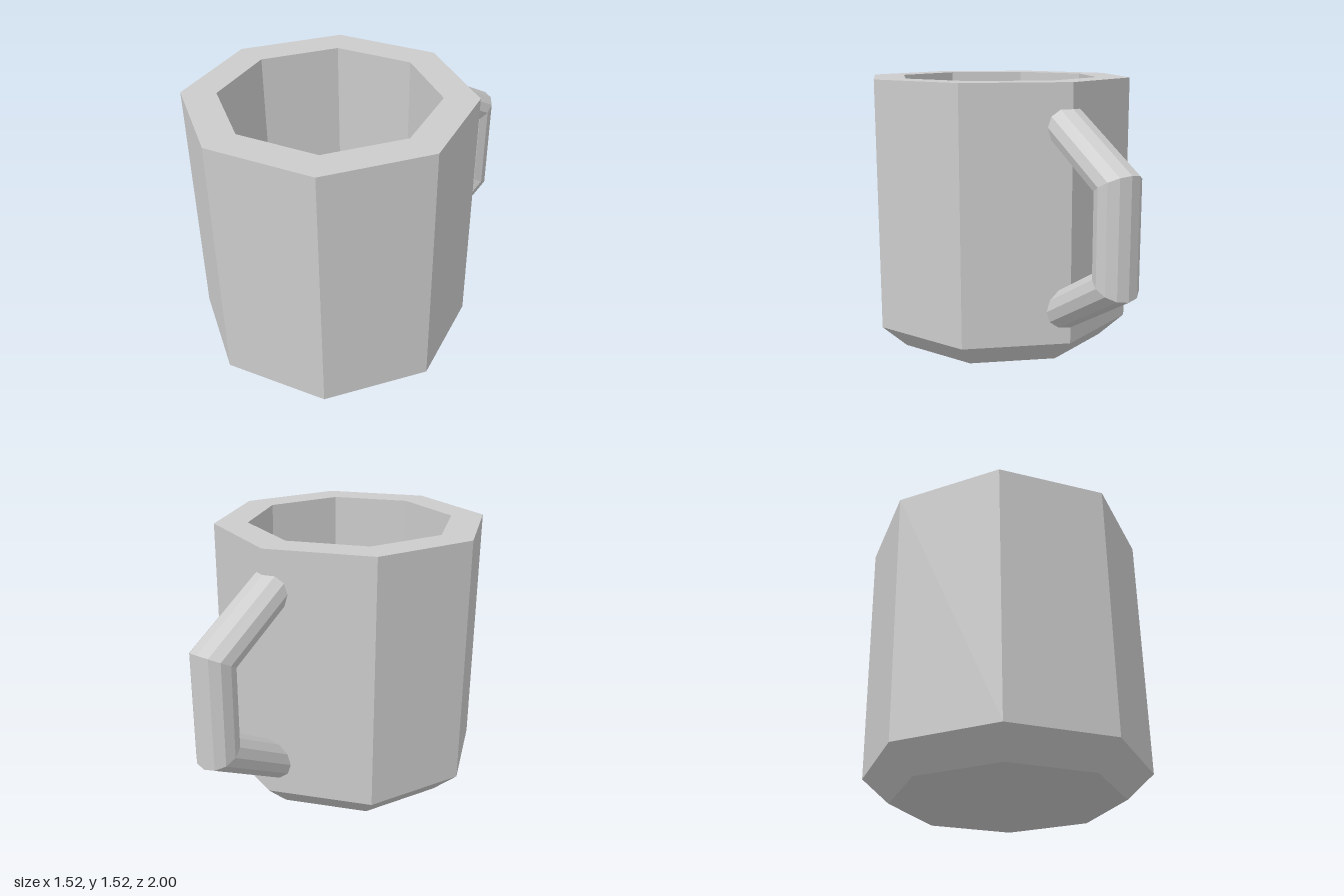
import * as THREE from 'three';

const SIDES = 8;
const CENTRE_Z = 0.24;
const FLOOR_Y = 0.19;
const INNER_R = 0.575;

// Tube skin through cross-sections; each ring has a centre (y, z) and an in-plane half-axis (dy, dz)
function handleGeometry(rings, halfWidth, n) {
  const pos = [], index = [];
  for (const { y, z, dy, dz } of rings) {
    for (let i = 0; i < n; i++) {
      const a = (i / n) * Math.PI * 2;
      pos.push(halfWidth * Math.cos(a), y + dy * Math.sin(a), z + dz * Math.sin(a));
    }
  }
  for (let r = 0; r < rings.length - 1; r++) {
    for (let i = 0; i < n; i++) {
      const a = r * n + i, b = r * n + ((i + 1) % n);
      index.push(a, b, a + n, b, b + n, a + n);
    }
  }
  const g = new THREE.BufferGeometry();
  g.setAttribute('position', new THREE.Float32BufferAttribute(pos, 3));
  g.setIndex(index);
  g.computeVertexNormals();
  return g;
}

export function createModel() {
  const group = new THREE.Group();
  group.name = 'mug';
  const grey = new THREE.MeshStandardMaterial({ color: 0xcccccc, flatShading: true });
  const greyBothSides = grey.clone();
  greyBothSides.side = THREE.DoubleSide;
  const dark = new THREE.MeshStandardMaterial({ color: 0x181431, flatShading: true });

  const add = (name, geometry, material) => {
    const mesh = new THREE.Mesh(geometry, material);
    mesh.name = name;
    group.add(mesh);
    return mesh;
  };

  // Octagonal cup: base, chamfer, outer wall, rim, inner wall
  const profile = [[0, 0], [0.615, 0], [0.76, 0.135], [0.76, 1.52], [INNER_R, 1.52], [INNER_R, FLOOR_Y]]
    .map(([r, y]) => new THREE.Vector2(r, y));
  add('cup', new THREE.LatheGeometry(profile, SIDES), grey).position.z = CENTRE_Z;

  // Dark inside floor
  const floor = add('insideFloor', new THREE.CircleGeometry(INNER_R, SIDES), dark);
  floor.rotation.x = -Math.PI / 2;
  floor.position.set(0, FLOOR_Y, CENTRE_Z);

  // Angular handle with mitred bends, ends sunk into the wall
  const rings = [
    { y: 1.333, z: -0.4, dy: 0.12, dz: 0 },
    { y: 1.052, z: -0.895, dy: 0.06, dz: -0.105 },
    { y: 0.557, z: -0.895, dy: -0.06, dz: -0.105 },
    { y: 0.277, z: -0.4, dy: -0.12, dz: 0 },
  ];
  add('handle', handleGeometry(rings, 0.12, 12), greyBothSides);

  return group;
}
